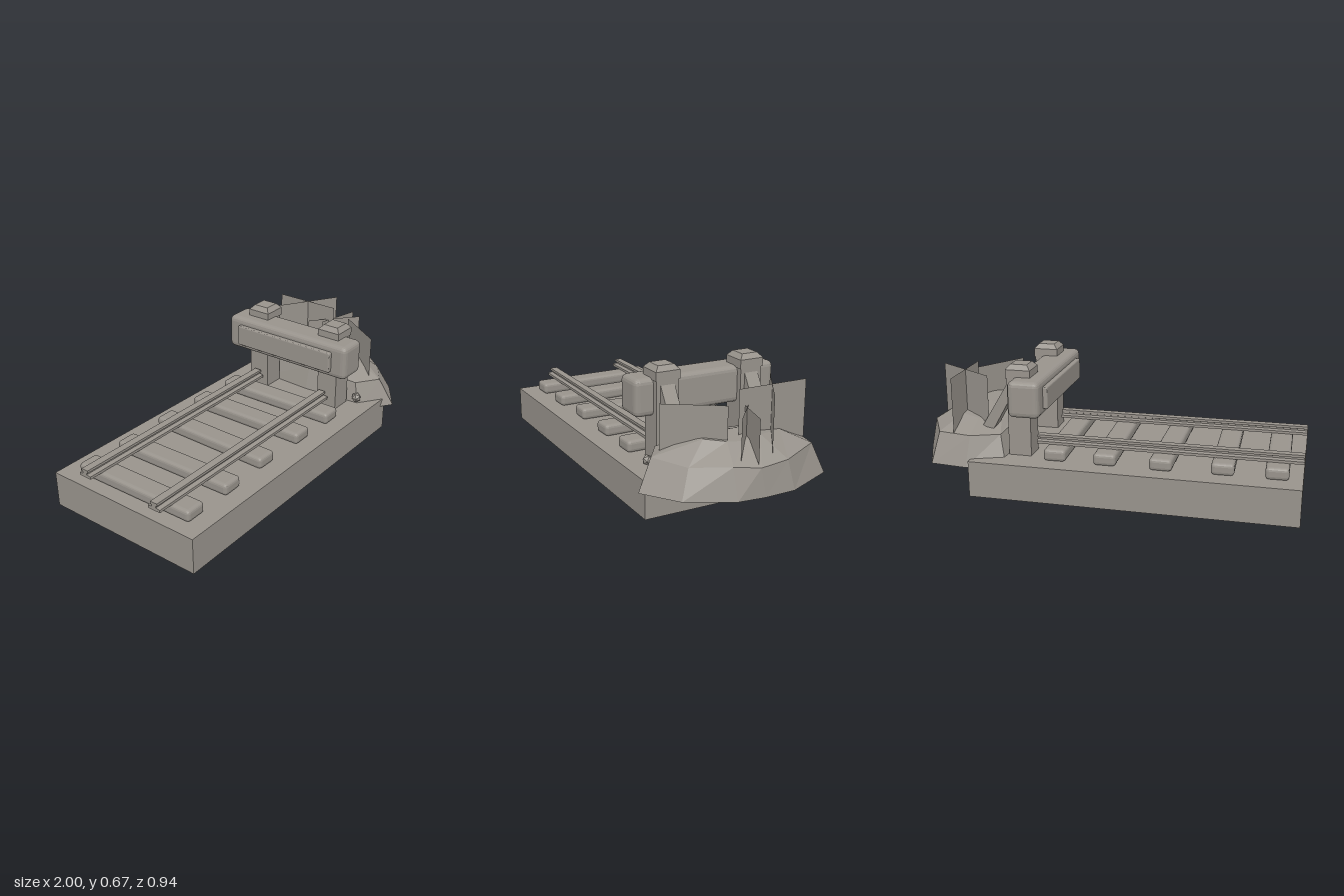
import * as THREE from 'three';
import { RoundedBoxGeometry } from 'three/addons/geometries/RoundedBoxGeometry.js';

export function createModel() {
  const model = new THREE.Group();
  const stone = new THREE.MeshStandardMaterial({ name: 'warm grey', color: 0x98938c, side: THREE.DoubleSide, flatShading: true });

  const add = (name, geometry, x = 0, y = 0, z = 0, parent = model) => {
    const mesh = new THREE.Mesh(geometry, stone);
    mesh.name = name;
    mesh.position.set(x, y, z);
    parent.add(mesh);
    return mesh;
  };
  const rounded = (w, h, d, r) => new RoundedBoxGeometry(w, h, d, 2, r);

  // Ground slab
  add('base', new THREE.BoxGeometry(1.67, 0.19, 0.89), -0.165, 0.095, -0.025);

  // Sleepers, laid slightly unevenly
  [[-0.87, -0.02, 0.015], [-0.605, -0.02, 0.02], [-0.31, -0.03, -0.015], [-0.015, -0.025, 0.012], [0.25, -0.02, 0.02]]
    .forEach(([x, z, turn]) => {
      add('sleeper', rounded(0.115, 0.062, 0.7, 0.018), x, 0.22, z).rotation.y = turn;
    });

  // Rails: foot, web and head profile swept along x
  const half = [[0.036, 0.25], [0.036, 0.264], [0.012, 0.268], [0.012, 0.276], [0.02, 0.279], [0.02, 0.292]];
  const profile = [...half, ...half.map(([w, y]) => [-w, y]).reverse()];
  const railShape = new THREE.Shape(profile.map(([w, y]) => new THREE.Vector2(w, y)));
  const railGeometry = new THREE.ExtrudeGeometry(railShape, { depth: 1.36, bevelEnabled: false });
  for (const z of [-0.25, 0.195]) add('rail', railGeometry, -1, 0, z).rotation.y = Math.PI / 2;

  // End stop posts with chamfered caps and sloping braces
  const capGeometry = new THREE.CylinderGeometry(0.086 / Math.SQRT2, 0.13 / Math.SQRT2, 0.025, 4);
  capGeometry.rotateY(Math.PI / 4);
  const braceShape = new THREE.Shape([[0.48, 0.61], [0.48, 0.51], [0.62, 0.26], [0.69, 0.26]]
    .map(([x, y]) => new THREE.Vector2(x, y)));
  const braceGeometry = new THREE.ExtrudeGeometry(braceShape, { depth: 0.075, bevelEnabled: false });
  for (const z of [-0.258, 0.21]) {
    const post = new THREE.Group();
    post.name = 'stopPost';
    model.add(post);
    add('postShaft', new THREE.BoxGeometry(0.12, 0.41, 0.12), 0.44, 0.395, z, post);
    add('postHead', new THREE.BoxGeometry(0.13, 0.045, 0.13), 0.44, 0.6225, z, post);
    add('postCap', capGeometry, 0.44, 0.6575, z, post);
    add('brace', braceGeometry, 0, 0, z - 0.0375, post);
  }

  // Cross beam and its impact plate
  add('crossBeam', rounded(0.165, 0.188, 0.78, 0.028), 0.387, 0.514, -0.025);
  add('impactPlate', rounded(0.05, 0.115, 0.615, 0.008), 0.306, 0.512, -0.028);

  // Faceted earth mound: three uneven rings and a crown, as [x, y, z]
  const foot = [[0.69, 0.465], [0.87, 0.34], [0.985, 0.12], [1, -0.02], [0.995, -0.18],
    [0.885, -0.435], [0.69, -0.455], [0.5, -0.38], [0.48, 0], [0.51, 0.34]].map(([x, z]) => [x, 0.15, z]);
  const shoulder = [[0.66, 0.3, 0.385], [0.82, 0.285, 0.28], [0.94, 0.3, 0.12], [0.985, 0.29, 0], [0.975, 0.3, -0.15],
    [0.86, 0.305, -0.37], [0.68, 0.305, -0.4], [0.54, 0.3, -0.33], [0.52, 0.32, 0], [0.54, 0.3, 0.3]];
  const brow = [[0.68, 0.375, 0.2], [0.76, 0.383, 0.17], [0.82, 0.375, 0.08], [0.84, 0.37, 0], [0.84, 0.387, -0.09],
    [0.78, 0.37, -0.24], [0.68, 0.36, -0.27], [0.58, 0.34, -0.2], [0.56, 0.34, 0], [0.58, 0.34, 0.17]];
  const rings = [foot, shoulder, brow];
  const n = foot.length;
  const corners = [];
  const tri = (a, b, c) => corners.push(...a, ...b, ...c);
  for (let i = 0; i < n; i++) {
    const j = (i + 1) % n;
    for (let k = 0; k < 2; k++) {
      const low = rings[k], high = rings[k + 1];
      tri(low[i], low[j], high[j]);
      tri(low[i], high[j], high[i]);
    }
    tri(brow[i], brow[j], [0.7, 0.385, -0.03]);
    tri(foot[j], foot[i], [0.72, 0.15, 0]);
  }
  const moundGeometry = new THREE.BufferGeometry();
  moundGeometry.setAttribute('position', new THREE.Float32BufferAttribute(corners, 3));
  moundGeometry.computeVertexNormals();
  add('earthMound', moundGeometry);

  // Small stone beside the mound
  add('pebble', new THREE.IcosahedronGeometry(0.028, 0), 0.515, 0.225, 0.325);

  // Grass cards: [x1, z1, x2, z2, bottom, top]
  [[0.775, -0.385, 0.775, -0.01, 0.29, 0.597],
    [0.635, 0.33, 0.81, 0.07, 0.3, 0.54],
    [0.615, -0.29, 0.935, -0.092, 0.31, 0.597],
    [0.695, -0.13, 0.93, 0.075, 0.3, 0.515],
    [0.73, -0.055, 0.97, 0.005, 0.29, 0.515]]
    .forEach(([x1, z1, x2, z2, low, high]) => {
      const card = new THREE.PlaneGeometry(Math.hypot(x2 - x1, z2 - z1), high - low);
      add('grassCard', card, (x1 + x2) / 2, (low + high) / 2, (z1 + z2) / 2)
        .rotation.y = Math.atan2(z1 - z2, x2 - x1);
    });

  return model;
}
